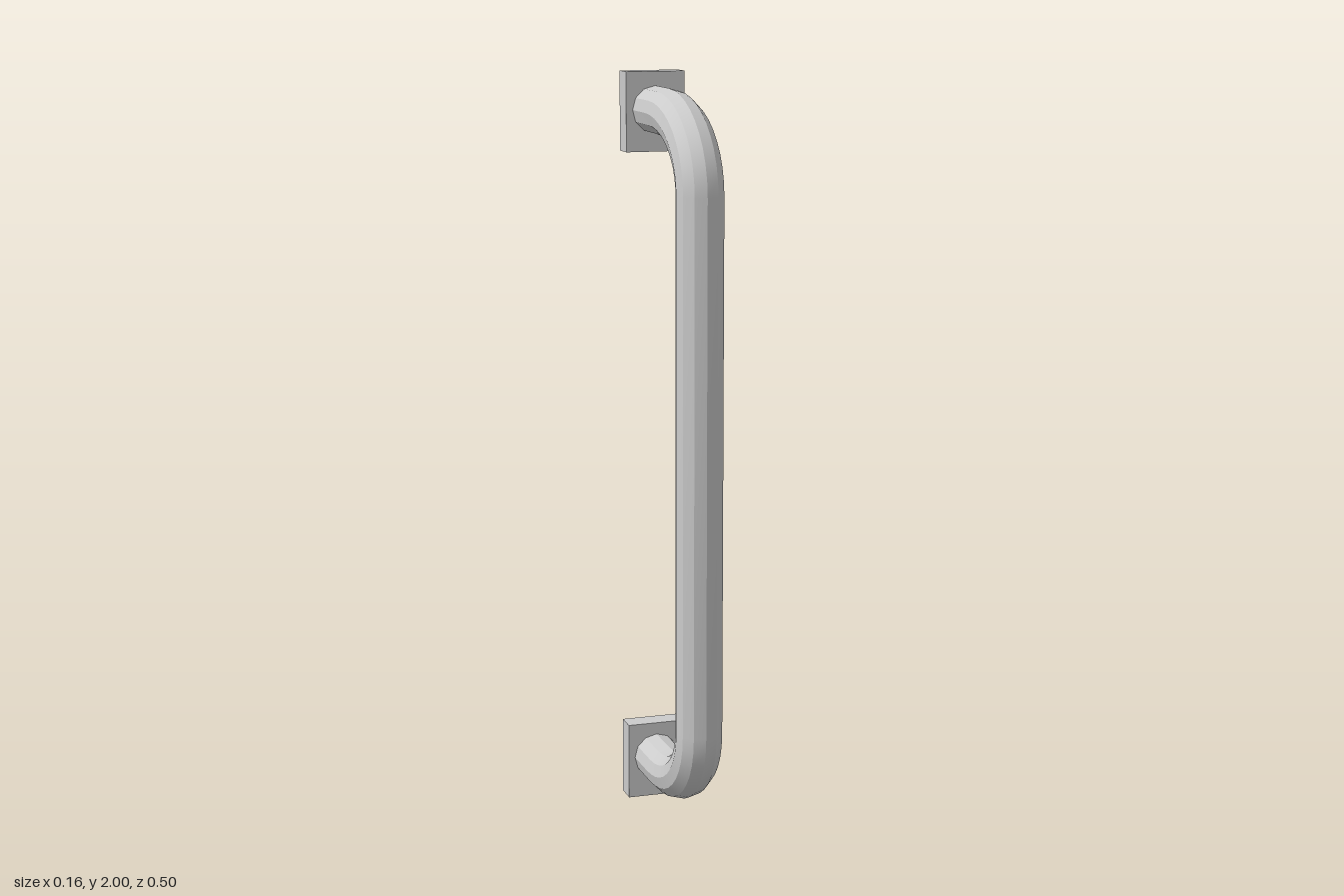
import * as THREE from 'three';
import { toCreasedNormals } from 'three/addons/utils/BufferGeometryUtils.js';

// Path through exact points, so the straight run and bends keep their own spacing
class PointPath extends THREE.Curve {
  constructor(points) {
    super();
    this.points = points;
  }
  getPoint(t, target = new THREE.Vector3()) {
    const f = t * (this.points.length - 1);
    const i = Math.min(Math.floor(f), this.points.length - 2);
    return target.lerpVectors(this.points[i], this.points[i + 1], f - i);
  }
  getPointAt(t, target) { return this.getPoint(t, target); }
  getTangentAt(t, target) { return this.getTangent(t, target); }
}

export function createModel() {
  const group = new THREE.Group();
  const material = new THREE.MeshStandardMaterial({ color: 0xcccccc });

  const radius = 0.0625, gripZ = 0.1875, plateFront = -0.19;
  const bendDepth = 0.265, bendHeight = 0.19, steps = 10;

  // Half path: from the mounting plate round the bend to the upright grip
  const halfPath = (legY, dir) => {
    const pts = [new THREE.Vector3(0, legY, plateFront - 0.01)];
    for (let i = 0; i <= steps; i++) {
      const a = (i / steps) * Math.PI / 2;
      pts.push(new THREE.Vector3(0,
        legY + dir * bendHeight * (1 - Math.cos(a)),
        gripZ - bendDepth * (1 - Math.sin(a))));
    }
    return pts;
  };

  // Handle bar: twelve-sided tube, smooth along its length
  const points = [...halfPath(0.115, 1), ...halfPath(1.9, -1).reverse()];
  const tube = new THREE.TubeGeometry(new PointPath(points), points.length - 1, radius, 12);
  const bar = new THREE.Mesh(toCreasedNormals(tube, 0.5), material);
  bar.name = 'handleBar';
  group.add(bar);

  // Mounting plates
  for (const [name, y] of [['lowerPlate', 0.105], ['upperPlate', 1.895]]) {
    const plate = new THREE.Mesh(new THREE.BoxGeometry(0.16, 0.21, 0.06), material);
    plate.name = name;
    plate.position.set(0, y, plateFront - 0.03);
    group.add(plate);
  }
  return group;
}
